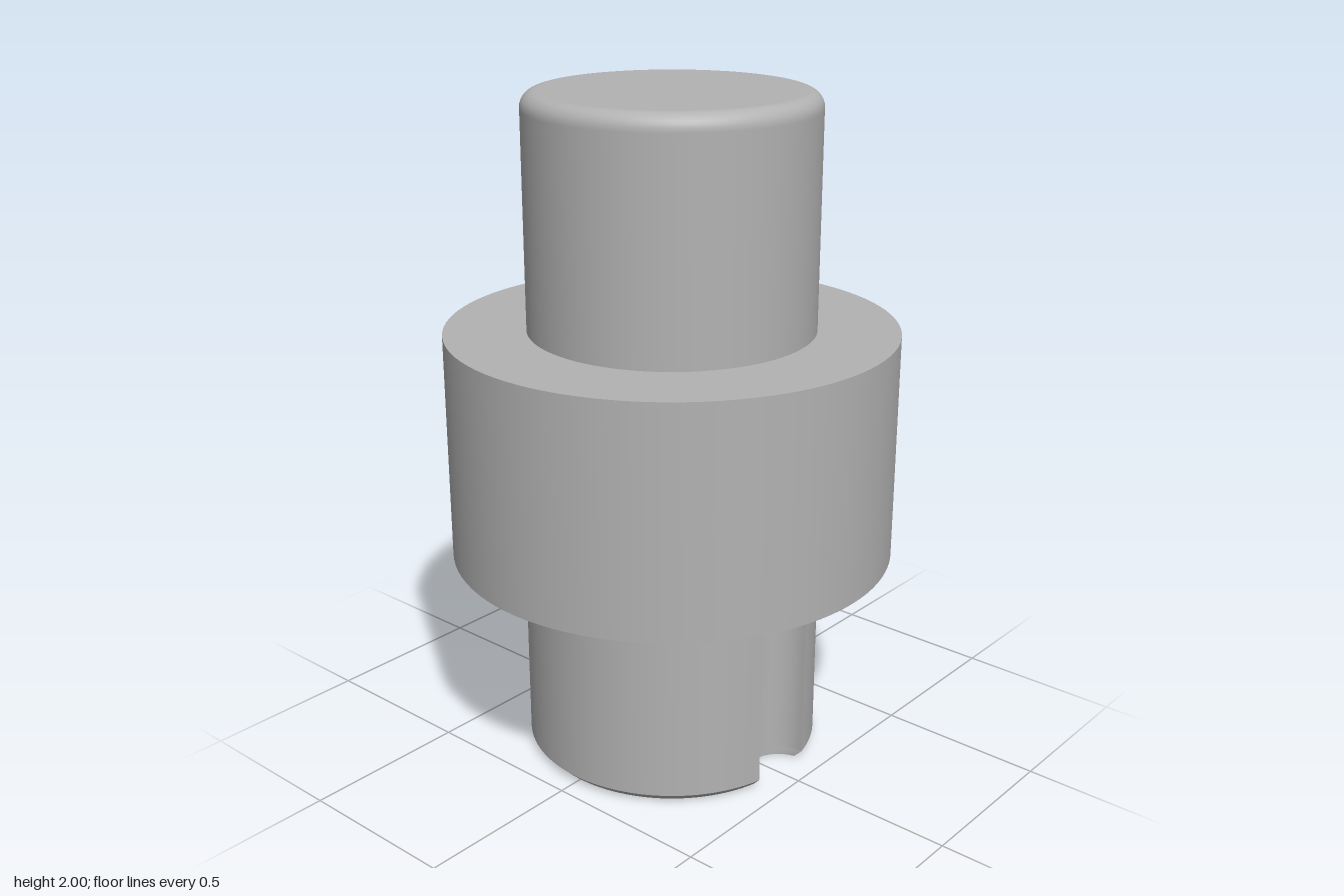
import * as THREE from 'three';

const SEG = 96;
const GROOVE_R = 0.105, GROOVE_X = 0.4325; // groove radius and centre offset
const SHAFT_R = 0.445, CHAMFER = 0.025, SHAFT_TOP = 0.64;

// Runs (groove, arc, groove, arc) of the grooved circle of radius r, as [x, z] points
function outlineRuns(r) {
  const x = (r * r - GROOVE_R ** 2 + GROOVE_X ** 2) / (2 * GROOVE_X);
  const z = Math.sqrt(r * r - x * x);
  const t = Math.atan2(z, x - GROOVE_X), phi = Math.atan2(z, x);
  const groove = [], arc = [];
  for (let i = 0; i <= 24; i++) {
    const a = -t - (i / 24) * (2 * Math.PI - 2 * t);
    groove.push([GROOVE_X + GROOVE_R * Math.cos(a), GROOVE_R * Math.sin(a)]);
  }
  for (let i = 0; i <= 48; i++) {
    const a = phi + (i / 48) * (Math.PI - 2 * phi);
    arc.push([r * Math.cos(a), r * Math.sin(a)]);
  }
  const turn = (run) => run.map(([px, pz]) => [-px, -pz]);
  return [groove, arc, turn(groove), turn(arc)];
}

// Smooth wall between two matching runs at heights y0 and y1
function wall(lower, y0, upper, y1) {
  const pos = [], index = [];
  lower.forEach(([x, z], i) => {
    pos.push(x, y0, z, upper[i][0], y1, upper[i][1]);
    if (i) {
      const a = 2 * (i - 1);
      index.push(a, a + 1, a + 2, a + 2, a + 1, a + 3);
    }
  });
  const g = new THREE.BufferGeometry();
  g.setAttribute('position', new THREE.Float32BufferAttribute(pos, 3));
  g.setIndex(index);
  g.computeVertexNormals();
  return g;
}

export function createModel() {
  const model = new THREE.Group();
  model.name = 'steppedPin';
  const steel = new THREE.MeshStandardMaterial({ color: 0xb2b2b2 });
  steel.name = 'plain grey';
  const add = (parent, name, geometry) => {
    const mesh = new THREE.Mesh(geometry, steel);
    mesh.name = name;
    parent.add(mesh);
    return mesh;
  };

  // Lower shaft: two round grooves and a chamfered foot
  const shaft = new THREE.Group();
  shaft.name = 'lowerShaft';
  model.add(shaft);
  const foot = outlineRuns(SHAFT_R - CHAMFER), body = outlineRuns(SHAFT_R);
  body.forEach((run, i) => {
    const name = i % 2 ? 'shaftWall' : 'grooveWall';
    add(shaft, name, wall(run, CHAMFER, run, SHAFT_TOP));
    add(shaft, i % 2 ? 'footChamfer' : 'grooveFoot', wall(foot[i], 0, run, CHAMFER));
  });
  const footShape = new THREE.Shape(foot.flat().map(([x, z]) => new THREE.Vector2(x, z)));
  add(shaft, 'footFace', new THREE.ShapeGeometry(footShape).rotateX(Math.PI / 2));

  // Wide collar
  const collar = add(model, 'collar', new THREE.CylinderGeometry(0.66, 0.66, 0.68, SEG));
  collar.position.y = 0.98;

  // Upper shaft with a rounded top edge
  const R = 0.42, F = 0.045;
  const profile = [new THREE.Vector2(R, 1.3), new THREE.Vector2(R, 2 - F - 0.005)];
  for (let i = 0; i <= 8; i++) {
    const a = (i / 8) * Math.PI / 2;
    profile.push(new THREE.Vector2(R - F + F * Math.cos(a), 2 - F + F * Math.sin(a)));
  }
  profile.push(new THREE.Vector2(R - F - 0.005, 2), new THREE.Vector2(0, 2));
  add(model, 'upperShaft', new THREE.LatheGeometry(profile, SEG));

  return model;
}
